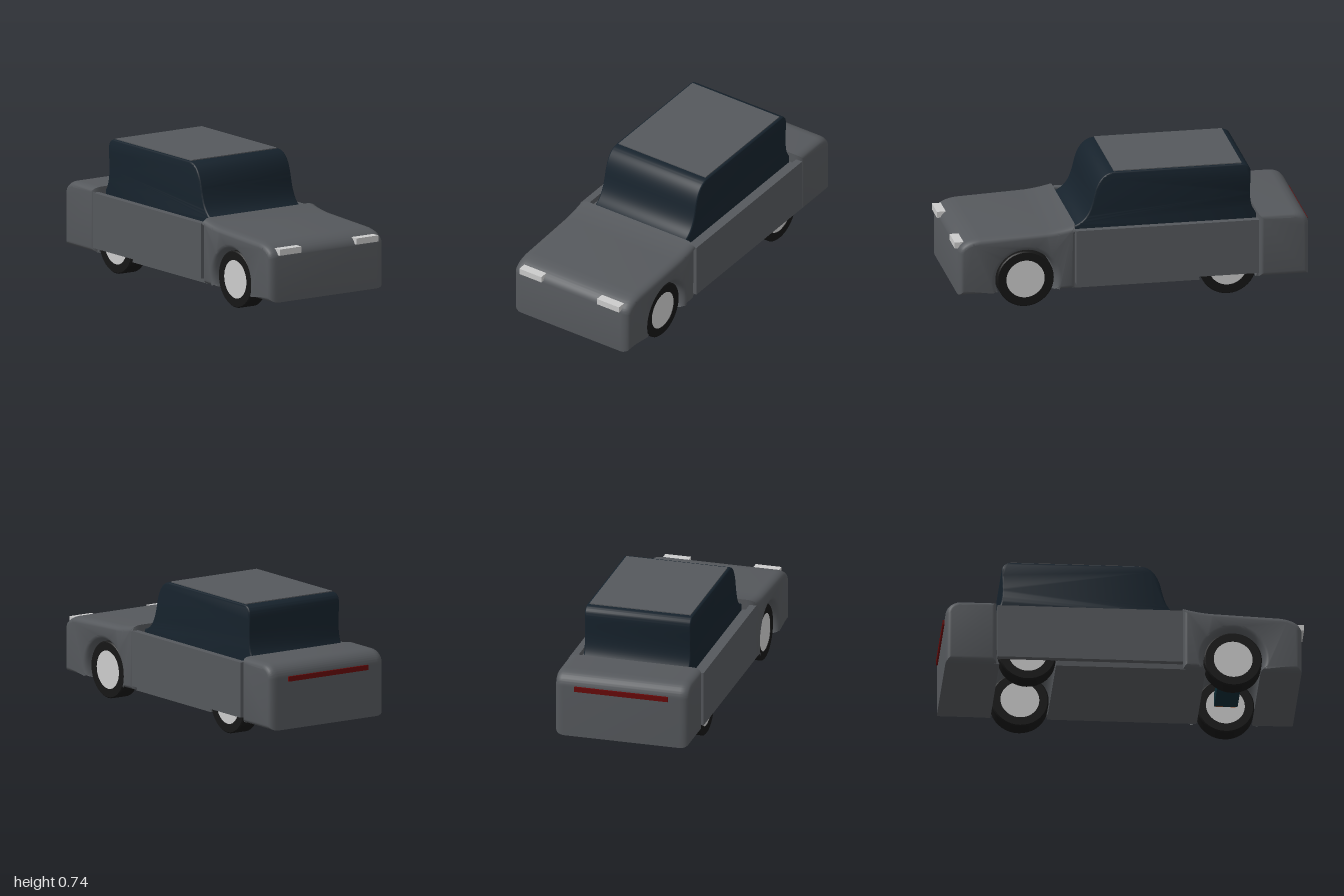
import * as THREE from 'three';
import { toCreasedNormals } from 'three/addons/utils/BufferGeometryUtils.js';

const paint = (color) => new THREE.MeshStandardMaterial({ color });
const BODY = paint(0x55585c), GLASS = paint(0x16222c), TYRE = paint(0x161616);
const METAL = paint(0xcccccc), RED = paint(0x660808), TEAL = paint(0x0c2a33), ORANGE = paint(0xe0662a);

const WHEEL_R = 0.16, FRONT_X = 0.605, REAR_X = -0.535, FLOOR = 0.09;

function add(parent, name, geometry, material, x = 0, y = 0, z = 0) {
  const mesh = new THREE.Mesh(geometry, material);
  mesh.name = name;
  mesh.position.set(x, y, z);
  parent.add(mesh);
  return mesh;
}

// Box given by its limits on each axis
function block(parent, name, material, [x0, x1], [y0, y1], [z0, z1]) {
  return add(parent, name, new THREE.BoxGeometry(x1 - x0, y1 - y0, z1 - z0), material,
    (x0 + x1) / 2, (y0 + y1) / 2, (z0 + z1) / 2);
}

// Side profile swept across the car, with a rounded edge kept inside the outline
function sweep(shape, halfWidth, size, thickness) {
  const geo = new THREE.ExtrudeGeometry(shape, {
    depth: 2 * (halfWidth - thickness), curveSegments: 20,
    bevelEnabled: size > 0, bevelSize: size, bevelOffset: -size,
    bevelThickness: thickness, bevelSegments: 5,
  });
  geo.translate(0, 0, thickness - halfWidth);
  return toCreasedNormals(geo, 0.6);
}

// Cuts a wheel arch into a floor line that is drawn towards +x
function arch(shape, x, r) {
  const dy = WHEEL_R - FLOOR, half = Math.sqrt(r * r - dy * dy);
  const a = Math.asin(dy / r);
  shape.lineTo(x - half, FLOOR);
  shape.absarc(x, WHEEL_R, r, Math.PI + a, -a, true);
}

function wheel(parent, name, x, z) {
  const g = new THREE.Group();
  g.name = name;
  g.position.set(x, WHEEL_R, z);
  const w = 0.0525, inner = 0.108;
  const profile = [[inner, -w], [WHEEL_R - 0.006, -w], [WHEEL_R, -w + 0.006],
    [WHEEL_R, w - 0.006], [WHEEL_R - 0.006, w], [inner, w], [inner, -w]]
    .map(([r, y]) => new THREE.Vector2(r, y));
  const tyre = toCreasedNormals(new THREE.LatheGeometry(profile, 40).rotateX(Math.PI / 2), 0.5);
  add(g, 'tyre', tyre, TYRE);
  add(g, 'hub', new THREE.CylinderGeometry(inner, inner, 2 * w - 0.006, 40).rotateX(Math.PI / 2), METAL);
  parent.add(g);
}

export function createModel() {
  const car = new THREE.Group();
  car.name = 'car';

  // Bonnet and front wings
  const nose = new THREE.Shape();
  nose.moveTo(0.325, FLOOR);
  arch(nose, FRONT_X, 0.168);
  nose.lineTo(0.985, FLOOR);
  nose.lineTo(0.985, 0.34);
  nose.bezierCurveTo(0.98, 0.385, 0.93, 0.412, 0.86, 0.418);
  nose.lineTo(0.5, 0.433);
  nose.quadraticCurveTo(0.42, 0.436, 0.325, 0.46);
  add(car, 'frontBody', sweep(nose, 0.385, 0.03, 0.05), BODY);

  // Boot
  const boot = new THREE.Shape();
  boot.moveTo(-0.99, FLOOR);
  boot.lineTo(-0.705, FLOOR);
  boot.lineTo(-0.705, 0.46);
  boot.lineTo(-0.9, 0.46);
  boot.bezierCurveTo(-0.95, 0.46, -0.99, 0.43, -0.99, 0.38);
  add(car, 'rearBody', sweep(boot, 0.385, 0.03, 0.05), BODY);

  // Middle section with the rear wheel arches
  const middle = new THREE.Shape();
  middle.moveTo(-0.72, FLOOR);
  arch(middle, REAR_X, 0.172);
  middle.lineTo(0.34, FLOOR);
  middle.lineTo(0.34, 0.4);
  middle.lineTo(-0.72, 0.4);
  add(car, 'middleBody', sweep(middle, 0.355, 0, 0), BODY);

  // Glass cabin
  const cabin = new THREE.Shape();
  cabin.moveTo(-0.705, 0.39);
  cabin.lineTo(0.325, 0.39);
  cabin.lineTo(0.325, 0.434);
  cabin.bezierCurveTo(0.25, 0.455, 0.228, 0.52, 0.21, 0.6);
  cabin.bezierCurveTo(0.19, 0.69, 0.15, 0.735, 0.09, 0.735);
  cabin.lineTo(-0.62, 0.735);
  cabin.bezierCurveTo(-0.655, 0.735, -0.675, 0.715, -0.675, 0.68);
  cabin.bezierCurveTo(-0.675, 0.6, -0.655, 0.5, -0.705, 0.44);
  add(car, 'cabin', sweep(cabin, 0.307, 0.01, 0.012), GLASS);
  block(car, 'roof', BODY, [-0.625, 0.095], [0.725, 0.74], [-0.292, 0.292]);

  // Doors, wheels and headlights on both sides
  for (const s of [1, -1]) {
    const side = s > 0 ? 'Left' : 'Right';
    const zs = (a, b) => (s > 0 ? [a, b] : [-b, -a]);
    block(car, 'door' + side, BODY, [-0.705, 0.325], [0.12, 0.432], zs(0.35, 0.39));
    wheel(car, 'frontWheel' + side, FRONT_X, s * 0.3055);
    wheel(car, 'rearWheel' + side, REAR_X, s * 0.3055);
    block(car, 'headlight' + side, METAL, [0.95, 1], [0.357, 0.392], zs(0.187, 0.335));
    block(car, 'axleCap' + side, ORANGE, [0.55, 0.66], [0.15, 0.21], zs(0.225, 0.25));
  }

  // Beam between the front wheels
  block(car, 'frontAxle', TEAL, [0.54, 0.67], [0.14, 0.22], [-0.225, 0.225]);
  // Tail light strip
  block(car, 'tailLight', RED, [-1, -0.96], [0.36, 0.388], [-0.27, 0.27]);
  return car;
}
